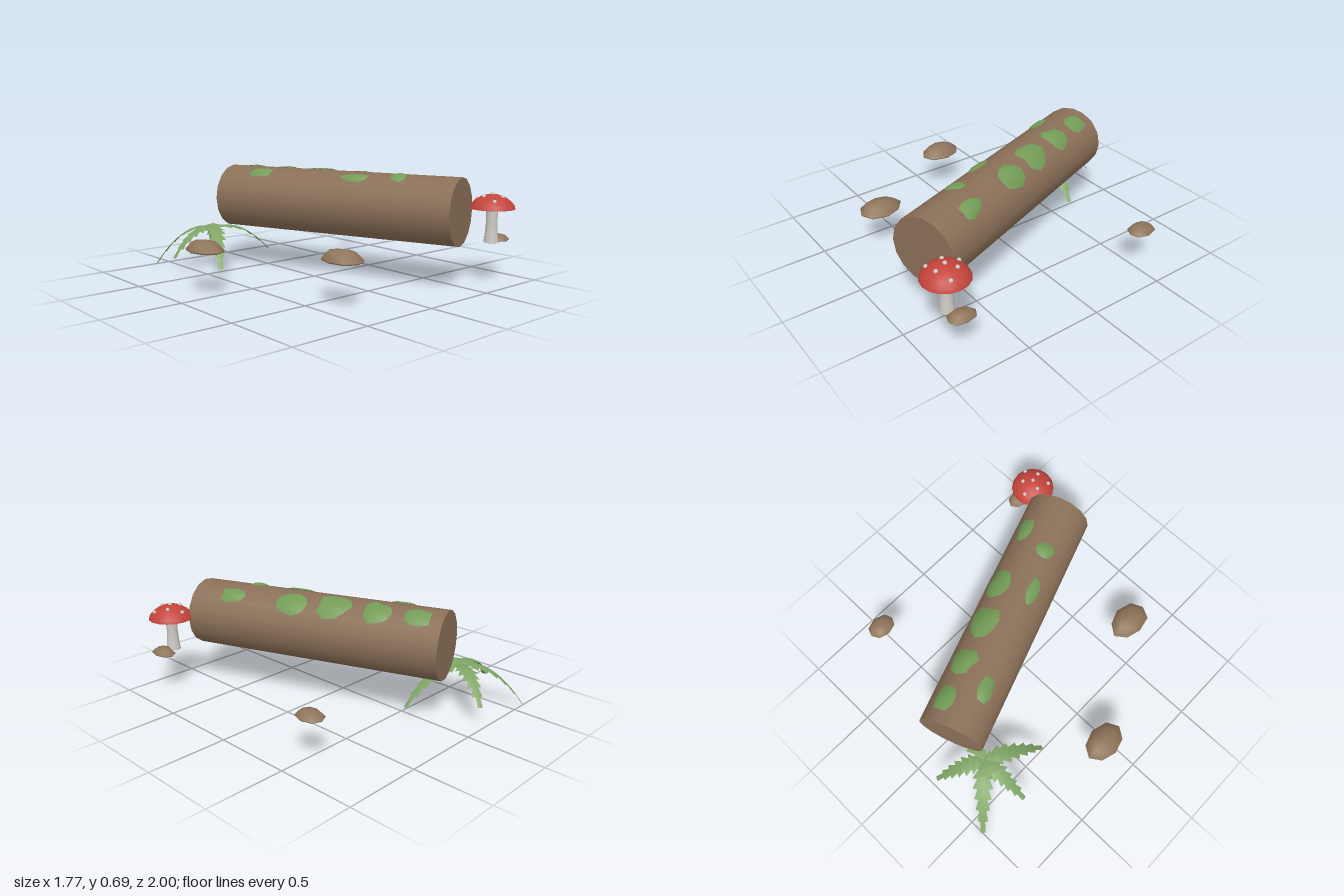
import * as THREE from 'three';
import { mergeVertices } from 'three/addons/utils/BufferGeometryUtils.js';

const GROUND = 0.26;
const LOG_R = 0.213;
const LOG_ANGLE = THREE.MathUtils.degToRad(19.9);
const LOG_CENTRE = new THREE.Vector3(0.18, 0.472, 0.037);

const mat = (name, color, side = THREE.FrontSide) => {
  const m = new THREE.MeshStandardMaterial({ color, side });
  m.name = name;
  return m;
};

const seeded = (seed) => () => {
  seed = (seed * 16807) % 2147483647;
  return seed / 2147483647;
};

const lathe = (pts, seg) => new THREE.LatheGeometry(pts.map(([x, y]) => new THREE.Vector2(x, y)), seg);

function add(parent, name, geometry, material) {
  const mesh = new THREE.Mesh(geometry, material);
  mesh.name = name;
  parent.add(mesh);
  return mesh;
}

function fromTriangles(positions, index) {
  const g = new THREE.BufferGeometry();
  g.setAttribute('position', new THREE.Float32BufferAttribute(positions, 3));
  g.setIndex(index);
  g.computeVertexNormals();
  return g;
}

// Low flat-bottomed stone with a slightly uneven outline
function rockGeometry(sx, h, sz, seed) {
  const rnd = seeded(seed);
  let g = lathe([[0, 0], [0.94, 0], [1, 0.16], [0.64, 0.8], [0, 1]], 8);
  g.deleteAttribute('uv');
  g.deleteAttribute('normal');
  g = mergeVertices(g, 1e-4);
  const wobble = Array.from({ length: 8 }, () => 0.93 + 0.12 * rnd());
  const p = g.attributes.position;
  for (let i = 0; i < p.count; i++) {
    const a = Math.atan2(p.getZ(i), p.getX(i)) + Math.PI;
    const w = wobble[Math.round(a / (Math.PI / 4)) % 8];
    p.setXYZ(i, p.getX(i) * w * sx, p.getY(i) * h, p.getZ(i) * w * sz);
  }
  g.computeVertexNormals();
  return g;
}

// Irregular patch wrapped over the log; u runs along the log, v across it
function mossGeometry(u0, v0, ru, rv, seed) {
  const rnd = seeded(seed);
  const n = 10;
  const pos = [], index = [];
  const put = (u, v, lift) => {
    const phi = v / LOG_R;
    pos.push((LOG_R + lift) * Math.sin(phi), (LOG_R + lift) * Math.cos(phi), u);
  };
  const phi0 = Math.asin(v0 / LOG_R);
  const arc = phi0 * LOG_R;
  const stretch = 1 / Math.cos(phi0);
  put(u0, arc, 0.012);
  const wob = Array.from({ length: n }, () => 0.8 + 0.35 * rnd());
  for (const [k, lift] of [[0.6, 0.01], [1, 0.001]]) {
    for (let i = 0; i < n; i++) {
      const a = (i / n) * Math.PI * 2;
      put(u0 + Math.cos(a) * ru * k * wob[i], arc + Math.sin(a) * rv * stretch * k * wob[i], lift);
    }
  }
  for (let i = 0; i < n; i++) {
    const j = (i + 1) % n;
    index.push(0, 1 + i, 1 + j);
    index.push(1 + i, 1 + n + i, 1 + n + j, 1 + i, 1 + n + j, 1 + j);
  }
  return fromTriangles(pos, index);
}

// Arching serrated leaf growing along +x and drooping to tipY
function frondGeometry(length, tipY) {
  const teeth = 7;
  const start = 0.275, rise = 0.1;
  const height = (t) => start + rise * t + (tipY - start - rise) * t * t;
  const half = (t) => 0.085 * Math.min(1, 0.35 + 2.6 * t) * Math.pow(1 - t, 0.6);
  const pos = [], index = [];
  // Each tooth adds a notch row and a pointed row, every row as left, spine, right
  for (let i = 0; i < teeth; i++) {
    for (const [f, k, sweep] of [[0, 0.55, 0], [0.55, 1, 0.35]]) {
      const t = (i + f) / teeth;
      const te = Math.min(1, t + sweep / teeth);
      const w = half(t) * k;
      const edge = height(te) - 0.25 * w;
      pos.push(te * length, edge, -w, t * length, height(t), 0, te * length, edge, w);
    }
  }
  const rows = teeth * 2;
  pos.push(length, tipY, 0);
  for (let r = 0; r < rows - 1; r++) {
    const a = r * 3, b = a + 3;
    index.push(a, a + 1, b, a + 1, b + 1, b);
    index.push(a + 1, a + 2, b + 1, a + 2, b + 2, b + 1);
  }
  const e = (rows - 1) * 3;
  index.push(e, e + 1, rows * 3, e + 1, e + 2, rows * 3);
  return fromTriangles(pos, index);
}

export function createModel() {
  const model = new THREE.Group();
  model.name = 'fallenLogScene';
  const bark = mat('bark brown', 0x8b7058);
  const stone = mat('stone brown', 0x8f755a);
  const moss = mat('moss green', 0x739c56, THREE.DoubleSide);
  const leaf = mat('leaf green', 0x7fa565, THREE.DoubleSide);
  const red = mat('cap red', 0xc4443b);
  const pale = mat('stem white', 0xcfcac4);

  // Log lying at an angle, with moss on its upper side
  const log = new THREE.Group();
  log.name = 'log';
  log.position.copy(LOG_CENTRE);
  log.rotation.y = LOG_ANGLE;
  model.add(log);
  add(log, 'trunk', new THREE.CylinderGeometry(LOG_R, LOG_R, 1.664, 16).rotateX(Math.PI / 2), bark);
  const s = Math.sin(LOG_ANGLE), c = Math.cos(LOG_ANGLE);
  [ // x, z, half length, half width
    [0.045, -0.63, 0.095, 0.065], [-0.1, -0.43, 0.095, 0.045], [0.13, -0.39, 0.09, 0.08],
    [0.22, -0.13, 0.11, 0.09], [0.34, 0.13, 0.11, 0.075], [0.14, 0.23, 0.1, 0.035],
    [0.27, 0.485, 0.055, 0.06], [0.48, 0.51, 0.09, 0.05],
  ].forEach(([x, z, ru, rv], i) => {
    const dx = x - LOG_CENTRE.x, dz = z - LOG_CENTRE.z;
    add(log, 'mossPatch', mossGeometry(dx * s + dz * c, dx * c - dz * s, ru, rv, 101 + i * 977), moss);
  });

  // Mushroom
  const mushroom = new THREE.Group();
  mushroom.name = 'mushroom';
  mushroom.position.set(0.73, GROUND, 0.85);
  model.add(mushroom);
  add(mushroom, 'stem', lathe([[0, 0], [0.046, 0], [0.046, 0.002], [0.039, 0.06], [0.035, 0.13], [0.038, 0.22]], 12), pale);
  const capProfile = [[0.142, 0.215], [0.135, 0.236], [0.112, 0.262], [0.078, 0.285], [0.04, 0.3], [0, 0.305]];
  add(mushroom, 'cap', lathe(capProfile, 16), red);
  add(mushroom, 'capUnderside', lathe([[0, 0.22], [0.142, 0.215]], 16), red);
  const capHeight = (r) => {
    const i = capProfile.findIndex(([pr]) => pr <= r);
    const [r0, y0] = capProfile[i - 1], [r1, y1] = capProfile[i];
    return y0 + ((r0 - r) / (r0 - r1)) * (y1 - y0);
  };
  [[0, 0], [-0.02, -0.1], [0.05, -0.045], [0.1, 0.03], [0.015, 0.065], [-0.075, 0.07], [-0.06, -0.02]].forEach(([x, z]) => {
    const spot = add(mushroom, 'capSpot', new THREE.SphereGeometry(0.013, 8, 6), pale);
    spot.position.set(x, capHeight(Math.hypot(x, z)), z);
  });

  // Stones
  [ // x, z, half width, height, half depth
    [-0.785, -0.085, 0.105, 0.07, 0.145], [-0.355, 0.645, 0.105, 0.07, 0.145],
    [0.805, -0.525, 0.074, 0.043, 0.097], [0.825, 0.82, 0.065, 0.043, 0.09],
  ].forEach(([x, z, sx, h, sz], i) => {
    add(model, 'rock', rockGeometry(sx, h, sz, 31 + i * 571), stone).position.set(x, GROUND, z);
  });

  // Fern behind the log
  const fern = new THREE.Group();
  fern.name = 'fern';
  fern.position.set(-0.32, 0, -0.69);
  model.add(fern);
  [ // direction of the tip in x and z, tip height
    [-0.28, -0.31, 0.0], [0.16, -0.28, 0.12], [-0.33, 0.02, 0.1], [-0.18, 0.35, 0.06], [0.4, 0.1, 0.08],
  ].forEach(([x, z, tipY]) => {
    add(fern, 'frond', frondGeometry(Math.hypot(x, z), tipY), leaf).rotation.y = Math.atan2(-z, x);
  });
  return model;
}
